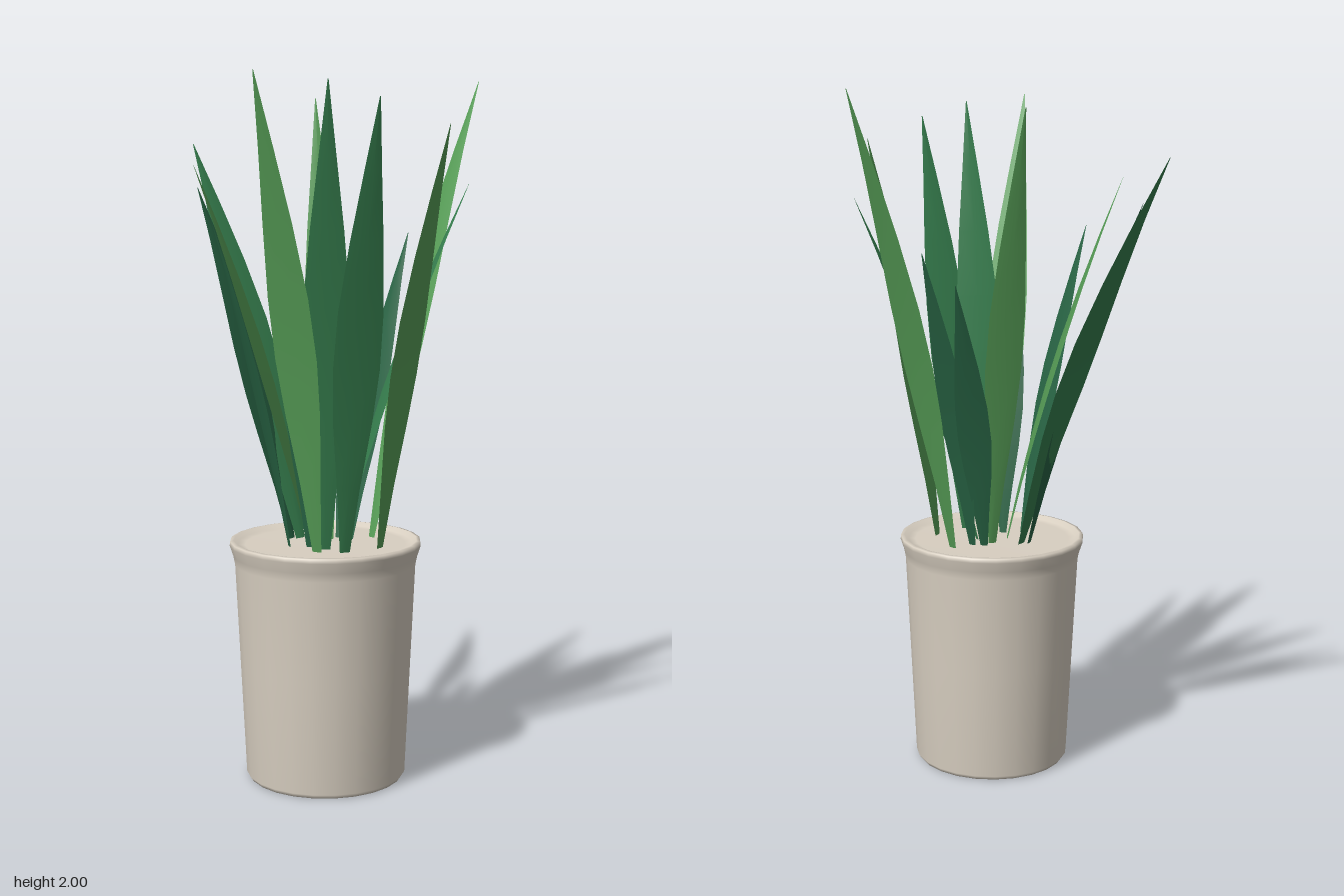
import * as THREE from 'three';

const material = (name, color) => {
  const m = new THREE.MeshStandardMaterial({ color });
  m.name = name;
  return m;
};

// Relative blade width along its length: [t, width]
const PROFILE = [[0, 0.22], [0.15, 0.5], [0.3, 0.84], [0.42, 1], [0.55, 0.96], [0.7, 0.7], [0.85, 0.36], [1, 0.02]];
const SOIL_Y = 0.68;

// Thin blade with a lens section, leaning from base to tip with a slight outward bow
function leafGeometry([bx, bz], [tx, ty, tz], width) {
  const dx = tx - bx, dz = tz - bz, len = Math.hypot(dx, dz);
  const side = new THREE.Vector3(dz / len, 0, -dx / len);
  const positions = [], index = [];
  for (const face of [1, -1]) {
    const start = positions.length / 3;
    PROFILE.forEach(([t, w], i) => {
      const h = 0.7 * t + 0.3 * t * t, slope = 0.7 + 0.6 * t;
      const centre = new THREE.Vector3(bx + dx * h, SOIL_Y + (ty - SOIL_Y) * t, bz + dz * h);
      const tangent = new THREE.Vector3(dx * slope, ty - SOIL_Y, dz * slope).normalize();
      const normal = side.clone().cross(tangent);
      for (const s of [-1, 0, 1]) {
        const p = centre.clone().addScaledVector(side, s * w * width / 2);
        if (s === 0) p.addScaledVector(normal, face * 0.004 * Math.min(1, w * 2));
        positions.push(p.x, p.y, p.z);
      }
      if (i === 0) return;
      for (let j = 0; j < 2; j++) {
        const a = start + (i - 1) * 3 + j, b = a + 1, c = a + 3, d = a + 4;
        if (face > 0) index.push(a, b, d, a, d, c);
        else index.push(a, d, b, a, c, d);
      }
    });
  }
  const g = new THREE.BufferGeometry();
  g.setAttribute('position', new THREE.Float32BufferAttribute(positions, 3));
  g.setIndex(index);
  g.computeVertexNormals();
  return g;
}

export function createModel() {
  const model = new THREE.Group();
  model.name = 'pottedPlant';

  const clay = material('pale clay', 0xd8cfc1);
  const fresh = material('fresh green', 0x58a058);
  const mid = material('mid green', 0x37804f);
  const deep = material('deep green', 0x286444);

  // Tapered pot with a flared lip, filled near the top
  const outline = [
    [0, 0], [0.222, 0], [0.23, 0.012], [0.245, 0.33], [0.259, 0.625],
    [0.264, 0.65], [0.274, 0.68], [0.273, 0.692], [0.262, 0.694], [0.25, 0.683], [0.23, SOIL_Y], [0, SOIL_Y],
  ].map(([r, y]) => new THREE.Vector2(r, y));
  const pot = new THREE.Mesh(new THREE.LatheGeometry(outline, 24), clay);
  pot.name = 'pot';
  pot.position.set(-0.105, 0, 0.063);
  model.add(pot);

  // Leaves: base [x, z], tip [x, y, z], width, colour
  const leaves = new THREE.Group();
  leaves.name = 'leaves';
  [
    [[-0.145, -0.035], [-0.325, 1.82, -0.465], 0.15, mid],
    [[-0.17, -0.04], [-0.36, 1.69, -0.31], 0.13, deep],
    [[-0.145, 0.04], [-0.425, 1.75, -0.13], 0.14, fresh],
    [[-0.215, 0.065], [-0.435, 1.6, 0.06], 0.095, deep],
    [[-0.17, 0.165], [-0.415, 1.98, 0.365], 0.13, fresh],
    [[-0.135, 0.14], [-0.225, 1.96, 0.4], 0.13, mid],
    [[-0.1, 0.2], [-0.11, 1.915, 0.47], 0.135, mid],
    [[0.015, 0.18], [0.14, 1.855, 0.36], 0.14, fresh],
    [[-0.06, 0.075], [0.305, 1.7, 0.137], 0.095, mid],
    [[0.05, 0.035], [0.435, 2, -0.07], 0.115, fresh],
    [[-0.015, 0.03], [0.205, 1.56, -0.06], 0.1, deep],
    [[-0.04, 0.005], [0.168, 1.48, -0.175], 0.1, deep],
    [[-0.075, 0.015], [-0.02, 1.95, -0.23], 0.11, fresh],
    [[-0.165, 0.095], [-0.27, 1.57, 0.19], 0.095, deep],
  ].forEach(([base, tip, width, mat], i) => {
    const leaf = new THREE.Mesh(leafGeometry(base, tip, width), mat);
    leaf.name = `leaf${i + 1}`;
    leaves.add(leaf);
  });
  model.add(leaves);
  return model;
}
